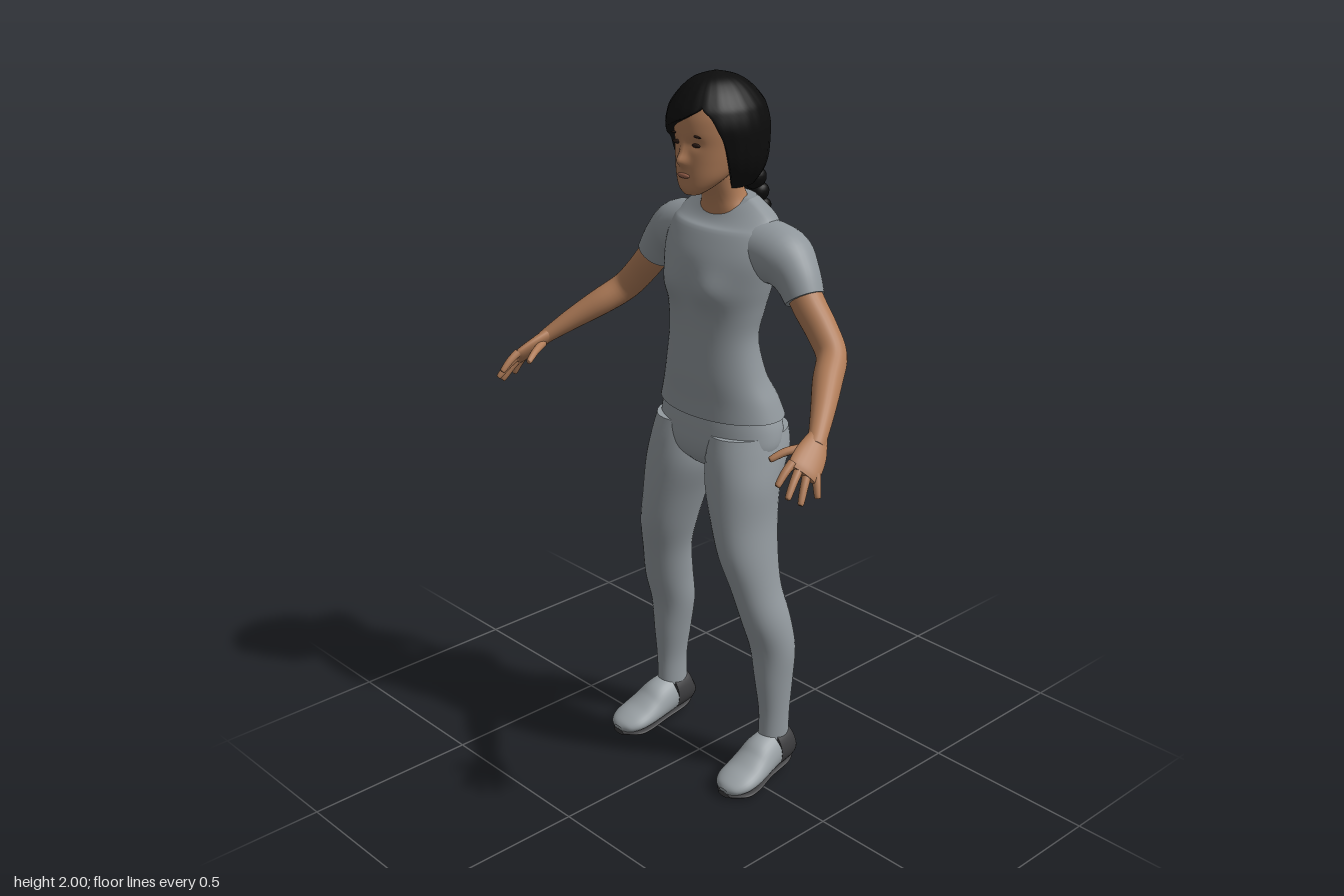
import * as THREE from 'three';

const mat = (name, color, side = THREE.FrontSide) => {
  const m = new THREE.MeshStandardMaterial({ color, side });
  m.name = name;
  return m;
};

// Smooth interpolation of rows of numbers
function smoothRows(rows, sub) {
  const out = [], last = rows.length - 1;
  for (let i = 0; i < last; i++) {
    const [p, a, b, q] = [rows[Math.max(i - 1, 0)], rows[i], rows[i + 1], rows[Math.min(i + 2, last)]];
    for (let k = 0; k < sub; k++) {
      const t = k / sub;
      out.push(a.map((_, j) => a[j] + 0.5 * t * (b[j] - p[j] + t * (2 * p[j] - 5 * a[j] + 4 * b[j] - q[j]
        + t * (3 * (a[j] - b[j]) + q[j] - p[j])))));
    }
  }
  out.push(rows[last]);
  return out;
}

// Skin quads over a grid of points
function gridGeometry(rings, closed) {
  const n = rings[0].length, pos = [], idx = [];
  rings.forEach(r => r.forEach(p => pos.push(p.x, p.y, p.z)));
  for (let i = 0; i < rings.length - 1; i++) {
    for (let j = 0; j < (closed ? n : n - 1); j++) {
      const a = i * n + j, b = i * n + (j + 1) % n;
      idx.push(a, b, a + n, b, b + n, a + n);
    }
  }
  const g = new THREE.BufferGeometry();
  g.setAttribute('position', new THREE.Float32BufferAttribute(pos, 3));
  g.setIndex(idx);
  g.computeVertexNormals();
  return g;
}

// Capped loft of ellipses; rows are [x, y, z, radius1, radius2].
// Without a ref the rings stay level (rows listed upward); with one they follow the path.
function loft(rows, { n = 32, sub = 5, ref = null, shape = null } = {}) {
  const s = smoothRows(rows, sub), at = i => new THREE.Vector3(...s[i].slice(0, 3));
  const ring = (i, k = 1) => {
    const t = new THREE.Vector3(0, 1, 0), u = new THREE.Vector3(1, 0, 0), c = at(i);
    if (ref) {
      t.copy(at(Math.min(i + 1, s.length - 1))).sub(at(Math.max(i - 1, 0))).normalize();
      u.set(...ref).addScaledVector(t, -t.dot(u.set(...ref))).normalize();
    }
    const v = t.clone().cross(u);
    return Array.from({ length: n }, (_, j) => {
      const a = j / n * Math.PI * 2;
      const p = c.clone().addScaledVector(u, k * s[i][3] * Math.cos(a)).addScaledVector(v, k * s[i][4] * Math.sin(a));
      if (shape) shape(p, k);
      return p;
    });
  };
  const rings = s.map((_, i) => ring(i)), e = s.length - 1;
  return gridGeometry([ring(0, 0), ring(0), ...rings, ring(e), ring(e, 0)], true);
}

export function createModel() {
  const root = new THREE.Group();
  root.name = 'standingWoman';
  const skin = mat('skin', 0xb07c58), shirtGrey = mat('shirtGrey', 0x8f969b), trouserGrey = mat('trouserGrey', 0x949ba0);
  const shoeGrey = mat('shoeGrey', 0x9ba2a6), shoeDark = mat('shoeDark', 0x3b3b3d);
  const hairBlack = mat('hairBlack', 0x0c0c0c, THREE.DoubleSide);
  const eyeDark = mat('eyeDark', 0x2a1b15), lip = mat('lip', 0x96604b);
  const add = (name, geo, material, parent = root) => {
    const m = new THREE.Mesh(geo, material);
    m.name = name;
    parent.add(m);
    return m;
  };
  const bump = (d, w) => Math.exp(-(d * d) / (w * w));
  const ball = (name, material, p, r, parent = root, rz = 0) => {
    const m = add(name, new THREE.SphereGeometry(1, 16, 12), material, parent);
    m.position.set(...p);
    m.scale.set(...r);
    m.rotation.z = rz;
    return m;
  };

  // Shirt body, with bust and a neckline dipping at the front
  add('shirtBody', loft([
    [0, 1.083, -0.085, 0.207, 0.129], [0, 1.13, -0.078, 0.19, 0.121], [0, 1.2, -0.06, 0.163, 0.106],
    [0, 1.3, -0.052, 0.144, 0.095], [0, 1.38, -0.062, 0.153, 0.106], [0, 1.45, -0.07, 0.168, 0.118],
    [0, 1.52, -0.078, 0.18, 0.117], [0, 1.58, -0.095, 0.18, 0.106], [0, 1.62, -0.107, 0.162, 0.09],
    [0, 1.65, -0.108, 0.122, 0.075], [0, 1.672, -0.105, 0.085, 0.062],
  ], {
    n: 56, shape: p => {
      if (p.z > -0.06) p.z += 0.018 * bump(Math.abs(p.x) - 0.075, 0.05) * bump(p.y - 1.445, 0.05);
      if (p.y > 1.6) p.y -= Math.max(0, p.z + 0.1) * (p.y - 1.6) * 9;
    },
  }), shirtGrey);

  // Pelvis of the trousers
  add('trouserSeat', loft([
    [0, 0.925, -0.06, 0.09, 0.055], [0, 0.96, -0.065, 0.175, 0.095], [0, 1.0, -0.077, 0.205, 0.12],
    [0, 1.05, -0.084, 0.203, 0.126], [0, 1.1, -0.08, 0.188, 0.116],
  ], { n: 48 }), trouserGrey);

  for (const s of [1, -1]) {
    const side = new THREE.Group();
    side.name = s > 0 ? 'leftLimbs' : 'rightLimbs';
    root.add(side);
    const flip = rows => rows.map(([x, ...r]) => [s * x, ...r]);
    const limb = (name, rows, material, opt) => add(name, loft(flip(rows), opt), material, side);

    limb('trouserLeg', [
      [0.215, 0.115, -0.09, 0.037, 0.05], [0.217, 0.2, -0.09, 0.039, 0.05], [0.213, 0.3, -0.09, 0.05, 0.06],
      [0.208, 0.4, -0.088, 0.062, 0.067], [0.2, 0.5, -0.065, 0.065, 0.075], [0.182, 0.6, -0.043, 0.064, 0.078],
      [0.16, 0.7, -0.033, 0.073, 0.093], [0.138, 0.8, -0.038, 0.084, 0.103], [0.12, 0.9, -0.05, 0.1, 0.111],
      [0.11, 0.98, -0.078, 0.1, 0.13], [0.102, 1.04, -0.086, 0.096, 0.124],
    ], trouserGrey, {});

    // Shoe: dark heel cup, pale vamp and thin dark sole
    const floor = p => { p.y = Math.max(p.y, 0.013 + Math.max(0, -p.z) * 0.12); };
    const along = { ref: [1, 0, 0], shape: floor };
    limb('shoeHeel', [
      [0.215, 0.085, -0.157, 0.022, 0.035], [0.215, 0.08, -0.143, 0.041, 0.053], [0.216, 0.079, -0.11, 0.049, 0.059],
      [0.217, 0.078, -0.072, 0.053, 0.061],
    ], shoeDark, along);
    limb('shoeFront', [
      [0.217, 0.078, -0.073, 0.052, 0.06], [0.219, 0.069, -0.035, 0.056, 0.058], [0.222, 0.055, 0, 0.06, 0.047],
      [0.225, 0.042, 0.04, 0.063, 0.036], [0.227, 0.033, 0.08, 0.059, 0.028], [0.228, 0.026, 0.108, 0.042, 0.02],
      [0.228, 0.022, 0.121, 0.018, 0.01],
    ], shoeGrey, along);
    limb('shoeSole', [
      [0.215, 0.034, -0.15, 0.022, 0.008], [0.216, 0.03, -0.11, 0.043, 0.009], [0.219, 0.02, -0.03, 0.05, 0.009],
      [0.225, 0.012, 0.04, 0.062, 0.01], [0.227, 0.01, 0.085, 0.058, 0.01], [0.228, 0.01, 0.12, 0.022, 0.008],
    ], shoeDark, { ref: [1, 0, 0] });

    limb('sleeve', [
      [0.1, 1.555, -0.108, 0.075, 0.085], [0.195, 1.535, -0.113, 0.08, 0.082], [0.25, 1.497, -0.108, 0.064, 0.064],
      [0.288, 1.447, -0.1, 0.052, 0.053],
    ], shirtGrey, { ref: [0, 1, 0] });
    limb('arm', [
      [0.25, 1.497, -0.11, 0.045, 0.045], [0.3, 1.435, -0.102, 0.045, 0.045], [0.355, 1.375, -0.098, 0.042, 0.043],
      [0.402, 1.325, -0.083, 0.04, 0.041], [0.443, 1.282, -0.025, 0.039, 0.038], [0.49, 1.235, 0.04, 0.032, 0.03],
      [0.53, 1.19, 0.1, 0.025, 0.021], [0.538, 1.178, 0.115, 0.026, 0.019],
    ], skin, { n: 24, ref: [s * 0.53, -0.48, -0.69] });

    // Hand: palm, four fingers and thumb
    limb('palm', [
      [0.526, 1.195, 0.092, 0.024, 0.018], [0.545, 1.165, 0.135, 0.041, 0.018], [0.56, 1.14, 0.175, 0.045, 0.016],
      [0.566, 1.13, 0.192, 0.039, 0.011],
    ], skin, { n: 20, ref: [s * 0.53, -0.48, -0.69] });
    const tips = [[0.546, 1.112, 0.257], [0.575, 1.085, 0.25], [0.592, 1.066, 0.222], [0.602, 1.072, 0.172]];
    const digit = (name, a, b, c) => limb(name,
      [[...a, 0.012, 0.012], [...b, 0.0105, 0.0105], [...c.map((v, i) => v * 0.9 + b[i] * 0.1), 0.008, 0.008],
        [...c, 0.003, 0.003]], skin, { n: 12, sub: 4, ref: [s, 0, 0.3] });
    tips.forEach((tip, k) => {
      const o = (k - 1.5) * 0.0225, base = [0.56 + 0.53 * o, 1.141 - 0.48 * o, 0.178 - 0.69 * o];
      digit('finger', base, base.map((v, i) => (v + tip[i]) / 2 + (i === 1 ? 0.004 : 0)), tip);
    });
    digit('thumb', [0.524, 1.172, 0.125], [0.496, 1.165, 0.175], [0.477, 1.148, 0.214]);

    // Eye, brow and ear
    ball('eye', eyeDark, [s * 0.036, 1.826, 0.047], [0.015, 0.0055, 0.005], side);
    ball('eyebrow', eyeDark, [s * 0.038, 1.85, 0.049], [0.019, 0.003, 0.004], side, s * -0.1);
    ball('ear', skin, [s * 0.09, 1.81, -0.05], [0.012, 0.03, 0.018], side);
  }

  // Neck and head with nose, brow and chin shaping
  add('neck', loft([
    [0, 1.58, -0.1, 0.1, 0.06], [0, 1.635, -0.098, 0.082, 0.06], [0, 1.67, -0.09, 0.064, 0.057],
    [0, 1.71, -0.075, 0.058, 0.056], [0, 1.77, -0.06, 0.06, 0.06],
  ]), skin);
  add('head', loft([
    [0, 1.693, 0.026, 0.024, 0.02], [0, 1.71, 0.012, 0.046, 0.044], [0, 1.74, -0.012, 0.069, 0.07],
    [0, 1.78, -0.033, 0.083, 0.091], [0, 1.82, -0.05, 0.092, 0.108], [0, 1.86, -0.055, 0.096, 0.115],
    [0, 1.9, -0.06, 0.096, 0.115], [0, 1.94, -0.06, 0.082, 0.098], [0, 1.97, -0.06, 0.045, 0.055],
  ], {
    n: 80, sub: 7, shape: (p, k) => {
      if (!k || p.z < 0) return;
      p.z += 0.022 * bump(p.x, 0.014) * bump(p.y - 1.785, 0.016) + 0.01 * bump(p.x, 0.01) * bump(p.y - 1.81, 0.02);
      p.z -= 0.006 * bump(Math.abs(p.x) - 0.034, 0.018) * bump(p.y - 1.828, 0.014);
    },
  }), skin);
  ball('lips', lip, [0, 1.745, 0.057], [0.022, 0.007, 0.007]);

  // Hair cap: rows are [y, z, radiusX, radiusZ, opening from, opening to] in degrees round the face
  const cap = smoothRows([
    [1.7, -0.1, 0.062, 0.08, -62, 62], [1.74, -0.085, 0.1, 0.112, -60, 60], [1.78, -0.075, 0.118, 0.131, -59, 59],
    [1.825, -0.07, 0.124, 0.139, -54, 56], [1.865, -0.065, 0.125, 0.145, -24, 51], [1.9, -0.063, 0.119, 0.139, 12, 43],
    [1.925, -0.062, 0.109, 0.128, 32, 32], [1.96, -0.06, 0.082, 0.098, 32, 32], [1.985, -0.057, 0.05, 0.06, 32, 32],
    [2.0, -0.055, 0.002, 0.003, 32, 32],
  ], 6);
  add('hairCap', gridGeometry(cap.map(([y, z, rx, rz, lo, hi]) => Array.from({ length: 83 }, (_, j) => {
    const u = THREE.MathUtils.clamp((j - 1) / 80, 0, 1), edge = j === 0 || j === 82;
    const end = Math.min(lo, hi) + 360;
    // Angles run backwards round the head, and both edges tuck in toward the face
    const a = THREE.MathUtils.degToRad(hi + (end - hi) * u), k = edge && hi > lo + 1 ? 0.8 : 1 + 0.006 * Math.sin(a * 22);
    return new THREE.Vector3(rx * k * Math.sin(a), y, z + rz * k * Math.cos(a));
  })), false), hairBlack);

  // Braid: plaited pairs of tilted locks, a tie and a loose tail
  const braid = new THREE.Group();
  braid.name = 'braid';
  root.add(braid);
  const path = new THREE.CatmullRomCurve3([[1.76, -0.165], [1.7, -0.188], [1.6, -0.218], [1.5, -0.226], [1.4, -0.222]]
    .map(([y, z]) => new THREE.Vector3(0, y, z)));
  for (let i = 0; i < 18; i++) {
    const t = i / 17, p = path.getPointAt(t), s = i % 2 ? 1 : -1, w = 0.034 - 0.016 * t;
    ball('lock', hairBlack, [s * w * 0.55, p.y, p.z], [w * 0.8, w * 1.05, w * 0.98], braid, s * -0.6);
  }
  ball('tie', hairBlack, [0, 1.385, -0.219], [0.013, 0.012, 0.013], braid);
  add('tail', loft([[0, 1.325, -0.208, 0.004, 0.004], [0, 1.35, -0.214, 0.019, 0.017], [0, 1.385, -0.219, 0.01, 0.01]],
    { n: 12 }), hairBlack, braid);

  return root;
}
